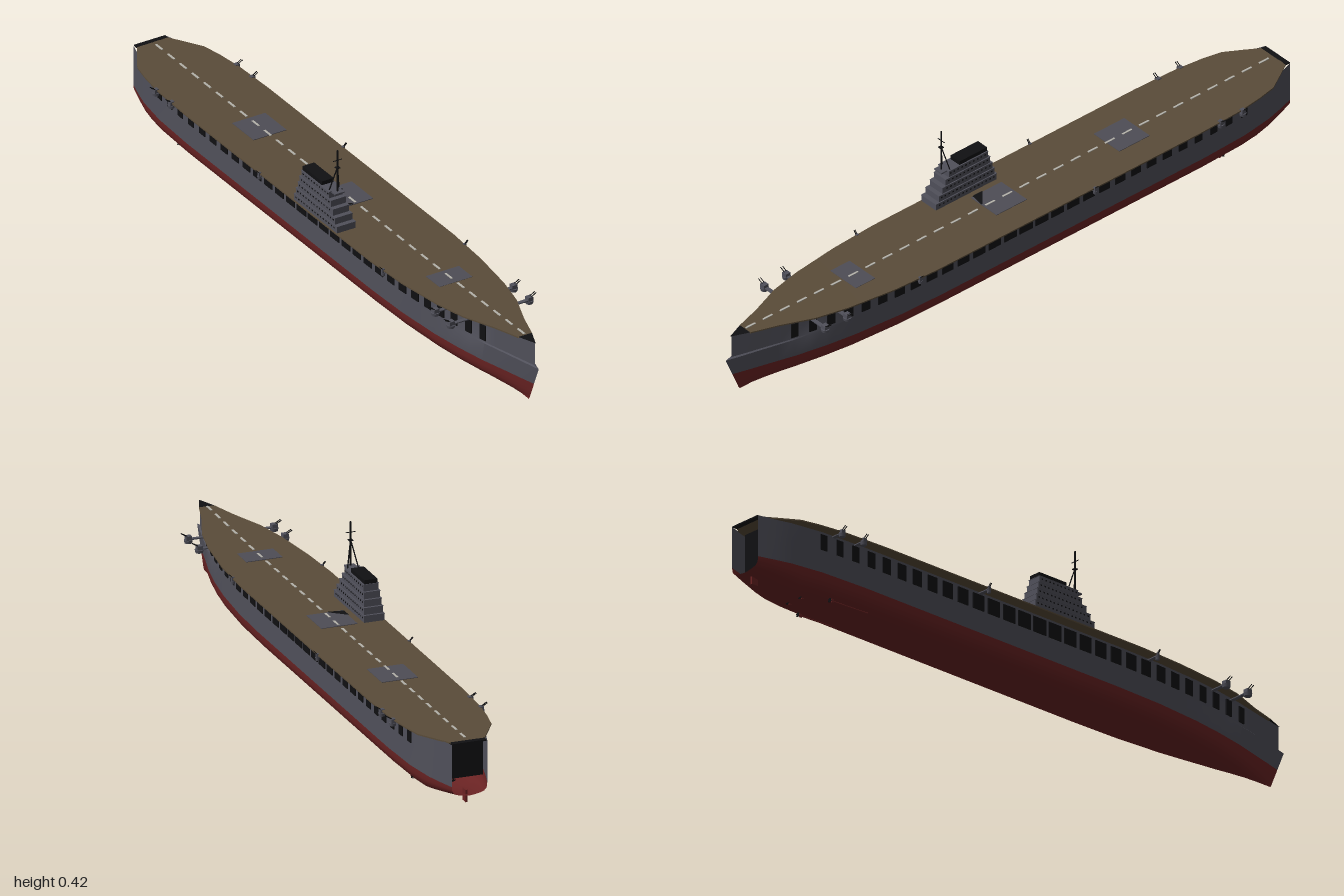
import * as THREE from 'three';
import { toCreasedNormals } from 'three/addons/utils/BufferGeometryUtils.js';

const mat = (name, color, side = THREE.FrontSide) => {
  const m = new THREE.MeshStandardMaterial({ color, side });
  m.name = name;
  return m;
};

// Piecewise linear lookup in [[z, value], ...]
function lookup(table, z) {
  for (let i = 1; i < table.length; i++) {
    const [z0, a] = table[i - 1], [z1, b] = table[i];
    if (z <= z1) return a + (b - a) * Math.max(0, (z - z0) / (z1 - z0));
  }
  return table[table.length - 1][1];
}

// Skin over cross-sections ordered from stern to bow
function loft(rings, closed = false) {
  const n = rings[0].length, idx = [];
  for (let i = 0; i < rings.length - 1; i++) {
    for (let j = 0; j < (closed ? n : n - 1); j++) {
      const k = (j + 1) % n;
      const a = i * n + j, b = i * n + k, c = a + n, d = b + n;
      idx.push(a, b, c, b, d, c);
    }
  }
  const g = new THREE.BufferGeometry();
  g.setAttribute('position', new THREE.Float32BufferAttribute(rings.flat(2), 3));
  g.setIndex(idx);
  return toCreasedNormals(g, 0.6);
}

const HULL_PLAN = [[-1, 0.052], [-0.95, 0.067], [-0.9, 0.08], [-0.8, 0.094], [-0.65, 0.1], [0.3, 0.1],
  [0.45, 0.096], [0.6, 0.083], [0.7, 0.069], [0.8, 0.05], [0.9, 0.025], [0.95, 0.013], [1, 0]];
const DECK_PLAN = [[-0.985, 0.05], [-0.94, 0.078], [-0.89, 0.108], [-0.83, 0.12], [-0.75, 0.13], [-0.6, 0.135],
  [0.35, 0.135], [0.5, 0.127], [0.65, 0.108], [0.75, 0.086], [0.85, 0.047], [0.93, 0.022]];
const deckY = z => 0.188 + 0.008 * Math.max(0, (z - 0.55) / 0.45);

export function createModel() {
  const root = new THREE.Group();
  root.name = 'aircraftCarrier';
  const grey = mat('hull grey', 0x50505a);
  const greyHull = mat('hull plating grey', 0x50505a, THREE.DoubleSide);
  const red = mat('antifouling red', 0x6a2323, THREE.DoubleSide);
  const brown = mat('deck brown', 0x5a4c39, THREE.DoubleSide);
  const black = mat('black', 0x101012, THREE.DoubleSide);
  const patch = mat('lift grey', 0x4e4d56);
  const white = mat('marking white', 0xb4b2aa);

  const add = (name, geo, m, x = 0, y = 0, z = 0, parent = root) => {
    const mesh = new THREE.Mesh(geo, m);
    mesh.name = name;
    mesh.position.set(x, y, z);
    parent.add(mesh);
    return mesh;
  };
  const box = (name, w, h, d, m, x, y, z, parent) => add(name, new THREE.BoxGeometry(w, h, d), m, x, y, z, parent);
  const rod = (name, a, b, r, m, parent = root) => {
    const p = new THREE.Vector3(...a), q = new THREE.Vector3(...b);
    const mesh = add(name, new THREE.CylinderGeometry(r, r, p.distanceTo(q), 6), m, 0, 0, 0, parent);
    mesh.position.copy(p).add(q).multiplyScalar(0.5);
    mesh.quaternion.setFromUnitVectors(new THREE.Vector3(0, 1, 0), q.sub(p).normalize());
  };

  // Hull: a level is [height, width factor, stem z]
  const hullPoint = (z, [y, w, stem], side) => {
    const top = y > 0.18 ? deckY(z) - 0.002 : y;
    const rise = 0.03 * Math.max(0, (-0.86 - z) / 0.14) * Math.max(0, 1 - y / 0.063);
    const zz = z > 0.6 ? 0.6 + (z - 0.6) / 0.4 * (stem - 0.6) : z;
    return [side * w * lookup(HULL_PLAN, z), top + rise, zz];
  };
  const stations = [-1, -0.95, -0.9, -0.86, -0.8, -0.65, -0.3, 0, 0.3, 0.45, 0.53, 0.6, 0.65, 0.7, 0.75, 0.8, 0.85, 0.9, 0.95, 1];
  const keel = [[0.003, 0, 0.95], [0.007, 0.35, 0.952], [0.012, 0.62, 0.955], [0.02, 0.83, 0.958],
    [0.032, 0.94, 0.963], [0.046, 0.99, 0.969], [0.063, 1, 0.976]];
  const topsides = [[0.063, 1, 0.976], [0.12, 1, 1], [0.123, 1, 0.98], [0.19, 1, 0.98]];
  add('lowerHull', loft(stations.map(z => [
    ...keel.slice(1).reverse().map(l => hullPoint(z, l, -1)), ...keel.map(l => hullPoint(z, l, 1))])), red);
  add('rightTopsides', loft(stations.map(z => [...topsides].reverse().map(l => hullPoint(z, l, -1)))), greyHull);
  add('leftTopsides', loft(stations.map(z => topsides.map(l => hullPoint(z, l, 1)))), greyHull);

  // Dark recess inside the open stern, and its upper lip
  box('sternBulkhead', 0.126, 0.12, 0.004, black, 0, 0.124, -0.94);
  box('sternLip', 0.1, 0.004, 0.016, black, 0, 0.186, -0.992);

  // Flight deck
  add('flightDeck', loft(DECK_PLAN.map(([z, w]) => {
    const y = deckY(z);
    return [[-w, y - 0.004, z], [w, y - 0.004, z], [w, y, z], [-w, y, z]];
  }), true), brown);
  const plate = (name, pts, m, y) => {
    const g = new THREE.ShapeGeometry(new THREE.Shape(pts.map(([x, z]) => new THREE.Vector2(x, -z))));
    add(name, g.rotateX(-Math.PI / 2), m, 0, y, 0);
  };
  plate('bowPlate', [[-0.022, 0.93], [0.022, 0.93], [0, 0.985]], black, 0.1945);
  plate('deckOpening', [[-0.055, 0.022], [-0.055, 0.058], [-0.01, 0.066], [-0.01, 0.06]], black, 0.1905);

  // Aircraft lifts and centreline dashes
  for (const [z, d] of [[-0.435, 0.11], [0.01, 0.11], [0.54, 0.07]])
    box('aircraftLift', 0.106, 0.002, d, patch, 0, deckY(z) + 0.0006, z);
  for (let z = -0.95; z < 0.93; z += 0.062)
    box('centrelineDash', 0.006, 0.002, 0.034, white, 0, deckY(z) + 0.0018, z);

  // Hangar side openings
  for (let i = -14; i <= 14; i++) {
    const z = i * 0.0568, w = 0.022 + 0.026 * (1 - Math.abs(z) / 0.8);
    const slope = (lookup(HULL_PLAN, z + 0.02) - lookup(HULL_PLAN, z - 0.02)) / 0.04;
    for (const s of [-1, 1])
      box('hangarOpening', 0.004, 0.046, w, black, s * (lookup(HULL_PLAN, z) + 0.0005), 0.153, z)
        .rotation.y = s * Math.atan(slope);
  }

  // Island: stepped tiers with rows of ports
  const island = new THREE.Group();
  island.name = 'island';
  island.position.set(-0.1025, 0.188, 0);
  root.add(island);
  for (let i = 0; i < 5; i++) {
    const w = 0.06 - i * 0.0042, z0 = -0.045 + i * 0.006, z1 = 0.175 - i * 0.0135, y = i * 0.0204 + 0.0102;
    box('islandTier', w, 0.0206, z1 - z0, grey, 0, y, (z0 + z1) / 2, island);
    box('tierLedge', w + 0.002, 0.0016, z1 - z0 + 0.002, grey, 0, y + 0.0095, (z0 + z1) / 2, island);
    for (let z = z0 + 0.01; z < z1 - 0.005; z += 0.014)
      box('islandPort', w + 0.0014, 0.004, 0.005, black, 0, y + 0.002, z, island);
  }
  box('bridgeWindow', 0.007, 0.007, 0.004, black, 0, 0.093, 0.121, island);
  box('funnelTop', 0.038, 0.013, 0.1, black, 0, 0.1075, 0.03, island);

  // Tripod mast
  rod('mast', [0, 0.1, 0.13], [0, 0.23, 0.13], 0.0022, black, island);
  rod('mastYard', [-0.014, 0.199, 0.13], [0.014, 0.199, 0.13], 0.0012, black, island);
  for (const s of [-1, 1])
    rod('mastLeg', [s * 0.016, 0.1, 0.112], [0, 0.178, 0.13], 0.0018, black, island);
  box('mastPlatform', 0.012, 0.002, 0.012, black, 0, 0.176, 0.13, island);
  box('mastFoot', 0.03, 0.004, 0.036, grey, 0, 0.1, 0.124, island);

  // Gun tubs along both deck edges
  for (const s of [-1, 1]) {
    for (const [z, x, r] of [[0.67, 0.126, 0.0125], [0.75, 0.126, 0.0125], [-0.68, 0.13, 0.01],
      [-0.76, 0.13, 0.01], [-0.22, 0.135, 0.006], [0.41, 0.131, 0.006]]) {
      const gun = new THREE.Group();
      gun.name = 'gunMount';
      gun.position.set(s * x, 0.174, z);
      root.add(gun);
      add('gunTub', new THREE.CylinderGeometry(r, r * 0.85, 0.009, 12), grey, 0, 0, 0, gun);
      box('gunHouse', r * 1.3, 0.012, r * 1.3, grey, 0, 0.01, 0, gun);
      for (const dz of [-0.3, 0.3])
        rod('gunBarrel', [0, 0.013, dz * r], [s * Math.min(0.02, r * 1.7), 0.024, dz * r], 0.0013, black, gun);
      const inner = lookup(HULL_PLAN, z) - 0.004;
      box('gunBracket', x - inner, 0.003, 0.012, grey, s * (x + inner) / 2, 0.18, z);
    }

    // Propeller shafts and struts
    for (const [x, z] of [[0.064, -0.745], [0.025, -0.82]]) {
      rod('propellerShaft', [s * x, 0.012, z + 0.14], [s * x, 0.007, z], 0.002, red);
      box('shaftStrut', 0.004, 0.014, 0.008, red, s * x, 0.01, z + 0.01);
      for (let k = 0; k < 3; k++)
        box('propellerBlade', 0.003, 0.013, 0.002, black, s * x, 0.007, z).rotation.z = k * Math.PI / 3;
    }
  }
  box('rudder', 0.005, 0.036, 0.022, red, 0, 0.022, -0.966);

  return root;
}
